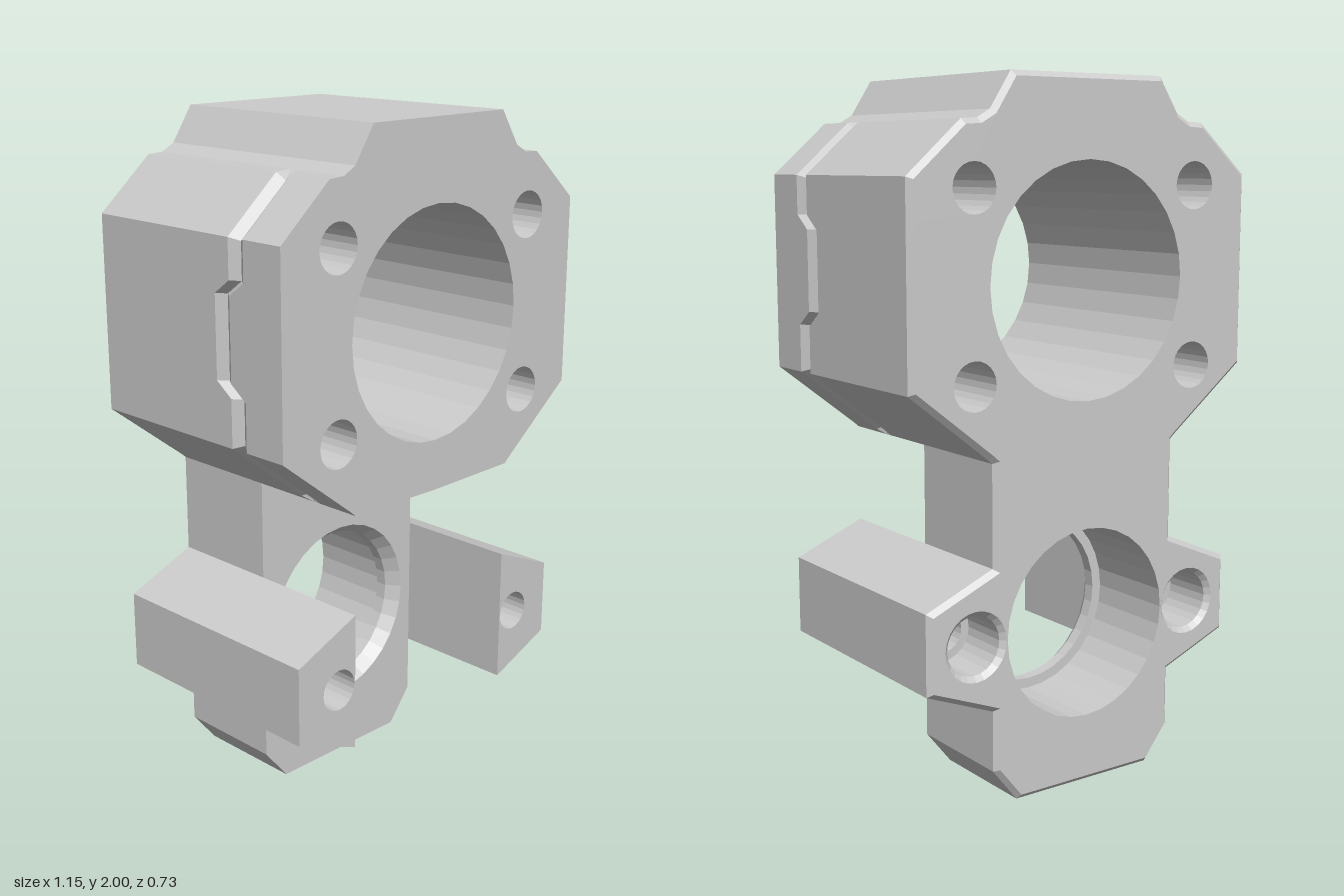
import * as THREE from 'three';

const BACK = -0.365, EDGE = -0.35, MID = -0.01, FRONT = 0.365;
const material = new THREE.MeshStandardMaterial({ color: 0xcccccc, flatShading: true });

// Right half of the clamp head, counter-clockwise: x, y, groove z (0 = no groove)
const headHalf = [
  [0.315, 0.97, 0], [0.33, 0.983, 0.2], [0.577, 1.175, 0.2], [0.577, 1.31, 0.2],
  [0.577, 1.35, 0.145], [0.577, 1.58, 0.145], [0.577, 1.62, 0.2], [0.577, 1.73, 0.2],
  [0.41, 1.875, 0.2], [0.36, 1.878, 0], [0.32, 1.9, 0], [0.254, 2, 0],
];
const lugHalf = [[0.315, 0.275], [0.53, 0.36], [0.53, 0.59], [0.315, 0.68]];
const footHalf = [[0.235, 0], [0.315, 0.1]];

const mirror = (pts) => pts.map(([x, ...rest]) => [-x, ...rest]).reverse();

// Moves a closed counter-clockwise outline inwards with mitred corners
function inset(pts, depth) {
  const n = pts.length;
  const normal = (a, b) => new THREE.Vector2(a[1] - b[1], b[0] - a[0]).normalize();
  return pts.map((p, i) => {
    const a = normal(pts[(i + n - 1) % n], p);
    const b = normal(p, pts[(i + 1) % n]);
    const d = depth(p) / (1 + a.dot(b));
    return [p[0] + (a.x + b.x) * d, p[1] + (a.y + b.y) * d];
  });
}

// Surface through rows of points, each row running from back to front
function skin(rows, closed = false) {
  const pos = [];
  const last = closed ? rows.length : rows.length - 1;
  for (let i = 0; i < last; i++) {
    const r = rows[i], s = rows[(i + 1) % rows.length];
    for (let j = 0; j < r.length - 1; j++) {
      pos.push(...r[j], ...s[j], ...s[j + 1], ...r[j], ...s[j + 1], ...r[j + 1]);
    }
  }
  const g = new THREE.BufferGeometry();
  g.setAttribute('position', new THREE.Float32BufferAttribute(pos, 3));
  g.computeVertexNormals();
  return g;
}

const wall = (pts, z0, z1) => skin(pts.map(([x, y]) => [[x, y, z0], [x, y, z1]]));

// Flat face with round holes given as [x, y, radius, sides]
function face(pts, holes, z, backwards = false) {
  const shape = new THREE.Shape(pts.map(([x, y]) => new THREE.Vector2(x, y)));
  for (const [cx, cy, r, n] of holes) {
    const ring = [];
    for (let i = 0; i < n; i++) {
      const a = (-i / n) * Math.PI * 2;
      ring.push(new THREE.Vector2(cx + r * Math.cos(a), cy + r * Math.sin(a)));
    }
    shape.holes.push(new THREE.Path(ring));
  }
  const g = new THREE.ShapeGeometry(shape);
  if (backwards) g.rotateY(Math.PI);
  return g.translate(0, 0, z);
}

// Inside of a hole; profile of [radius, z] from front to back
function bore(x, y, profile, sides) {
  return new THREE.LatheGeometry(profile.map(([r, z]) => new THREE.Vector2(r, z)), sides)
    .rotateX(Math.PI / 2).translate(x, y, 0);
}

export function createModel() {
  const model = new THREE.Group();
  const part = (name, ...geometries) => {
    const group = new THREE.Group();
    group.name = name;
    for (const g of geometries) {
      const mesh = new THREE.Mesh(g, material);
      mesh.name = name;
      group.add(mesh);
    }
    model.add(group);
  };

  const headPath = [...headHalf, ...mirror(headHalf)];
  const headOutline = [...headPath, [0, 0.965, 0]];
  const footPath = [...mirror(lugHalf).slice(-1), ...mirror(footHalf), ...footHalf, lugHalf[0]];
  const outline = [...footHalf, ...lugHalf, ...headPath, ...mirror(lugHalf), ...mirror(footHalf)];

  const screwSpots = [[-0.378, 1.7], [0.378, 1.7], [-0.378, 1.185], [0.378, 1.185]];
  const headHoles = [[0, 1.443, 0.33, 32], ...screwSpots.map(([x, y]) => [x, y, 0.068, 24])];
  const lugSpots = [-0.378, 0.378];

  // Back face with its chamfered rim
  const rim = inset(outline, () => 0.015);
  part('backFace',
    face(rim, [...headHoles, [0, 0.475, 0.275, 32], ...lugSpots.map((x) => [x, 0.475, 0.1, 24])], BACK, true),
    skin(outline.map(([x, y], i) => [[...rim[i], BACK], [x, y, EDGE]]), true));

  // Clamp head: side wall with a V groove that jogs backwards on each flank
  const deep = inset(headOutline, (p) => (p[2] ? 0.02 : 0));
  const headRows = headPath.map(([x, y, groove], i) => {
    const c = groove || 0.2;
    return [[x, y, EDGE], [x, y, c - 0.028], [...deep[i], c], [x, y, c + 0.028], [x, y, FRONT]];
  });
  part('head',
    skin(headRows),
    wall([[-0.315, 0.97], [0, 0.965], [0.315, 0.97]], MID, FRONT),
    face(headOutline, headHoles, FRONT));

  // Straight holes through the head
  part('headBores', ...headHoles.map(([x, y, r, n]) => bore(x, y, [[r, FRONT], [r, BACK]], n)));

  // Thin lower plate with neck and foot
  const plate = [...footHalf, [0.315, 0.97], [0, 0.97], [-0.315, 0.97], ...mirror(footHalf)];
  part('lowerPlate',
    wall(footPath, EDGE, MID),
    wall([[0.315, 0.68], [0.315, 0.97]], EDGE, MID),
    wall([[-0.315, 0.97], [-0.315, 0.68]], EDGE, MID),
    face(plate, [[0, 0.475, 0.275, 32]], MID));

  // Bearing seat with a retaining lip near the front
  part('bearingSeat', bore(0, 0.475,
    [[0.275, MID], [0.245, -0.05], [0.245, -0.085], [0.275, -0.085], [0.275, BACK]], 32));

  // Side lugs with counterbored screw holes
  for (const side of [1, -1]) {
    const pts = side > 0 ? lugHalf : mirror(lugHalf);
    const x = side * 0.378;
    part(side > 0 ? 'leftLug' : 'rightLug',
      wall(pts, EDGE, FRONT),
      wall([pts[3], pts[0]], MID, FRONT),
      face(pts, [[x, 0.475, 0.06, 24]], FRONT),
      bore(x, 0.475, [[0.06, FRONT], [0.06, -0.2], [0.085, -0.2], [0.085, EDGE], [0.1, BACK]], 24));
  }
  return model;
}
